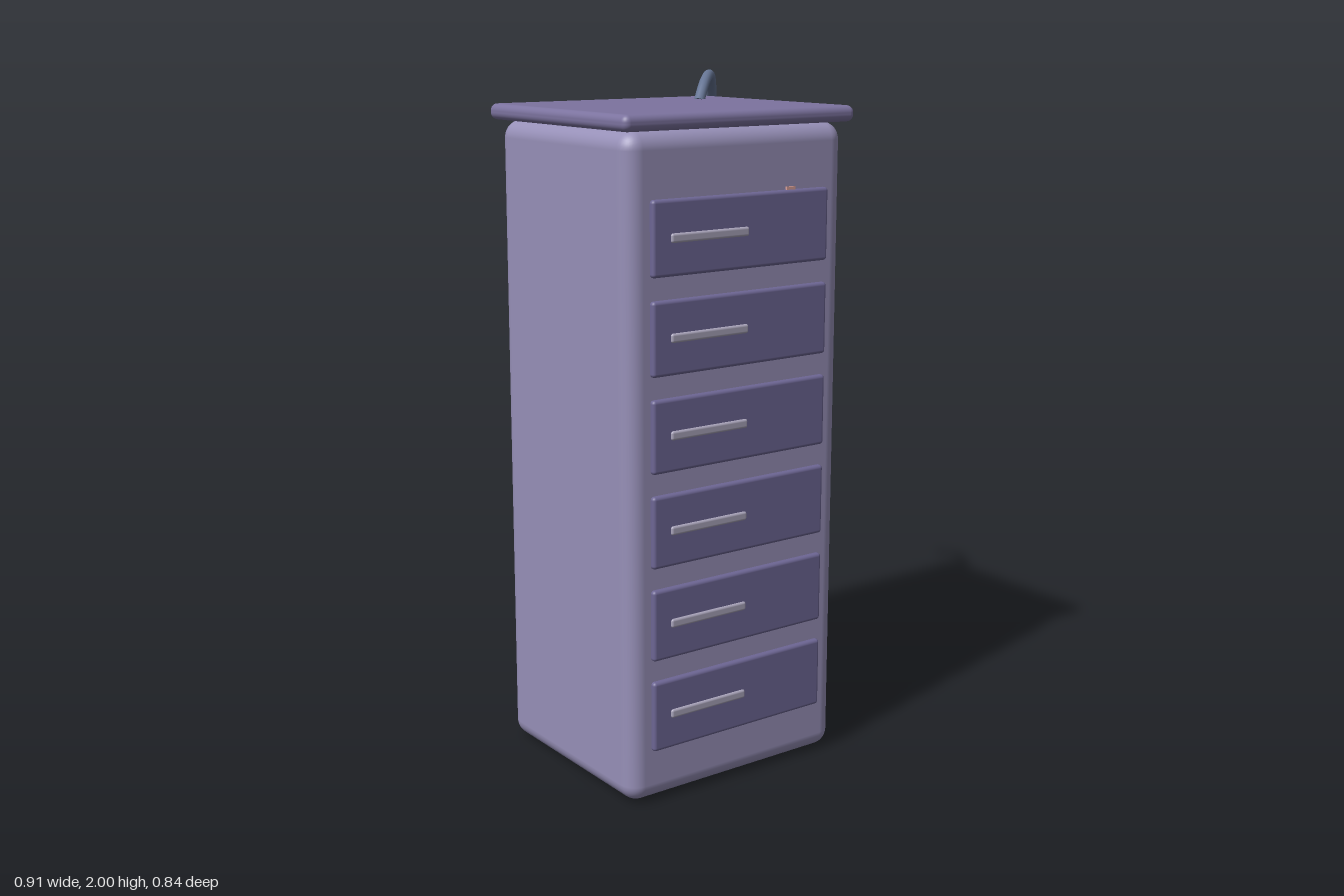
import * as THREE from 'three';
import { RoundedBoxGeometry } from 'three/addons/geometries/RoundedBoxGeometry.js';

const material = (color) => new THREE.MeshStandardMaterial({ color });

export function createModel() {
  const group = new THREE.Group();
  const bodyMat = material(0x9790b8);
  const topMat = material(0x7c739f);
  const drawerMat = material(0x6d6694);
  const handleMat = material(0xaaa5bb);
  const cableMat = material(0x667594);

  const add = (name, geometry, mat, x, y, z) => {
    const mesh = new THREE.Mesh(geometry, mat);
    mesh.name = name;
    mesh.position.set(x, y, z);
    group.add(mesh);
    return mesh;
  };
  const rounded = (w, h, d, r, segments = 4) => new RoundedBoxGeometry(w, h, d, segments, r);

  // Cabinet body and overhanging top
  add('body', rounded(0.74, 1.87, 0.65, 0.05), bodyMat, -0.07, 0.94, 0.075);
  add('top', rounded(0.78, 0.045, 0.69, 0.02), topMat, -0.07, 1.897, 0.075);

  // Six drawer fronts, each with a slim bar handle left of centre
  const drawerGeo = rounded(0.6, 0.205, 0.03, 0.01, 3);
  const handleGeo = rounded(0.26, 0.026, 0.016, 0.007, 3);
  for (let i = 0; i < 6; i++) {
    const y = 0.26 + i * 0.267;
    add('drawerFront', drawerGeo, drawerMat, -0.07, y, 0.4);
    add('drawerHandle', handleGeo, handleMat, -0.183, y, 0.413);
  }

  // Small tab peeking out above the top drawer
  add('paperTab', new THREE.BoxGeometry(0.03, 0.012, 0.008), material(0xd9a09a), 0.1, 1.7, 0.403);

  // Low feet under the corners
  const footGeo = new THREE.CylinderGeometry(0.018, 0.018, 0.03, 16);
  for (const x of [-0.37, 0.23]) {
    for (const z of [-0.18, 0.33]) add('foot', footGeo, bodyMat, x, 0.015, z);
  }

  // Cable arching from the top over the back corner, with rounded ends
  const path = new THREE.CatmullRomCurve3([
    new THREE.Vector3(0.16, 1.91, -0.1),
    new THREE.Vector3(0.215, 1.962, -0.147),
    new THREE.Vector3(0.29, 1.984, -0.222),
    new THREE.Vector3(0.37, 1.944, -0.317),
    new THREE.Vector3(0.44, 1.822, -0.405),
  ]);
  const radius = 0.016;
  add('cable', new THREE.TubeGeometry(path, 48, radius, 16), cableMat, 0, 0, 0);
  for (const t of [0, 1]) {
    const cap = add('cableEnd', new THREE.CircleGeometry(radius, 16), cableMat, 0, 0, 0);
    const end = path.getPoint(t);
    cap.position.copy(end);
    cap.lookAt(end.clone().addScaledVector(path.getTangent(t), t ? 1 : -1));
  }

  return group;
}
